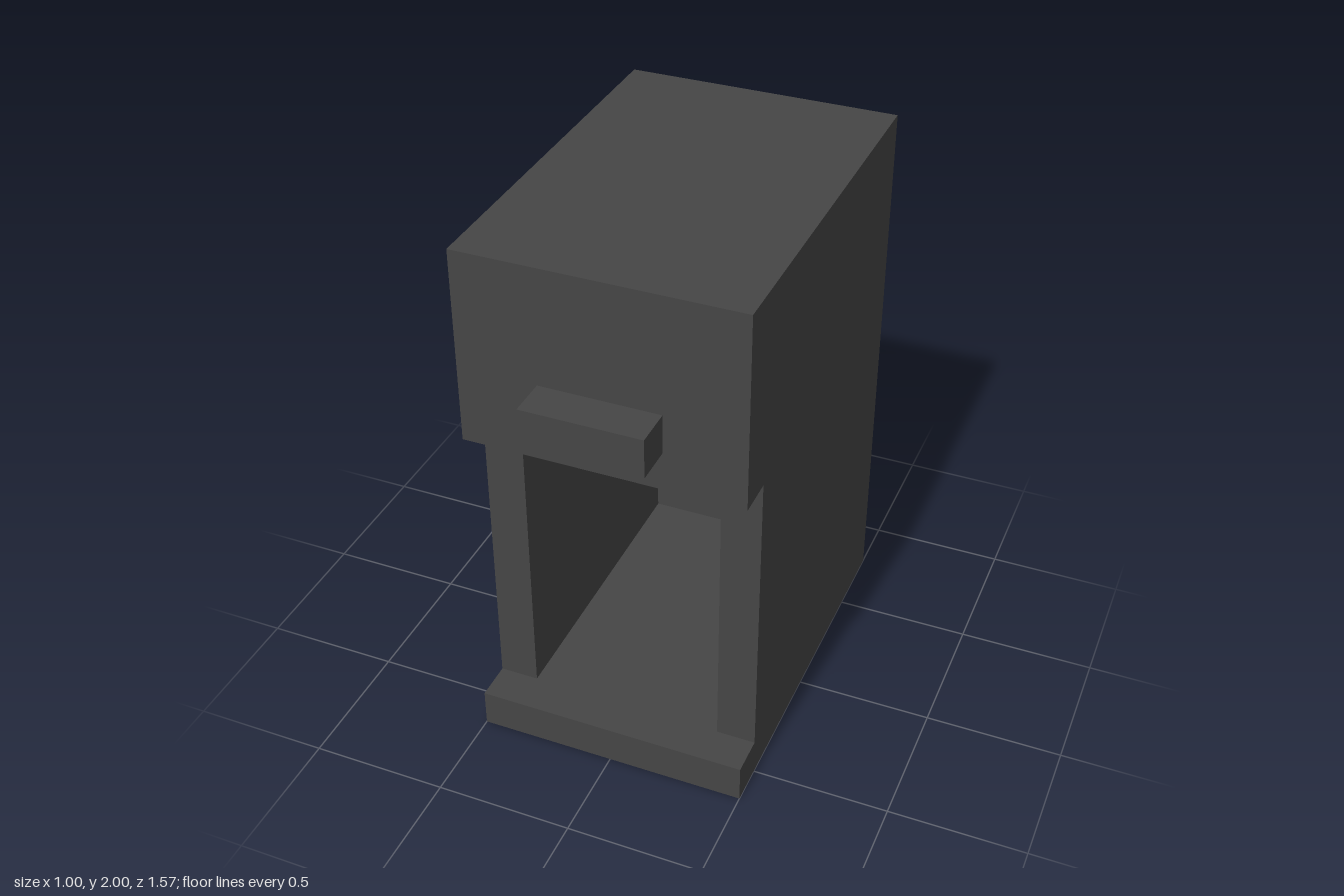
import * as THREE from 'three';

export function createModel() {
  const group = new THREE.Group();
  const charcoal = new THREE.MeshStandardMaterial({ color: 0x464646 });
  charcoal.name = 'charcoal';

  // Everything sits on a grid of one seventh of the width
  const u = 1 / 7;
  const back = -5.5 * u;

  // Box given by its min and max corners, in grid units (z measured from the back)
  function block(name, [x0, y0, z0], [x1, y1, z1]) {
    const geometry = new THREE.BoxGeometry((x1 - x0) * u, (y1 - y0) * u, (z1 - z0) * u);
    const mesh = new THREE.Mesh(geometry, charcoal);
    mesh.position.set((x0 + x1) / 2 * u, (y0 + y1) / 2 * u, back + (z0 + z1) / 2 * u);
    mesh.name = name;
    group.add(mesh);
  }

  // Base tray and overhanging head
  block('base', [-3.5, 0, 0], [3.5, 1, 10]);
  block('head', [-3.5, 9, 0], [3.5, 14, 10]);

  // Walls around the open bay, set back from the front
  block('leftWall', [2.5, 1, 0], [3.5, 9, 9]);
  block('rightWall', [-3.5, 1, 0], [-2.5, 9, 9]);
  block('backWall', [-2.5, 1, 0], [2.5, 9, 1]);

  // Handle on the front of the head
  block('handle', [-1.5, 10, 10], [1.5, 11, 11]);

  return group;
}
